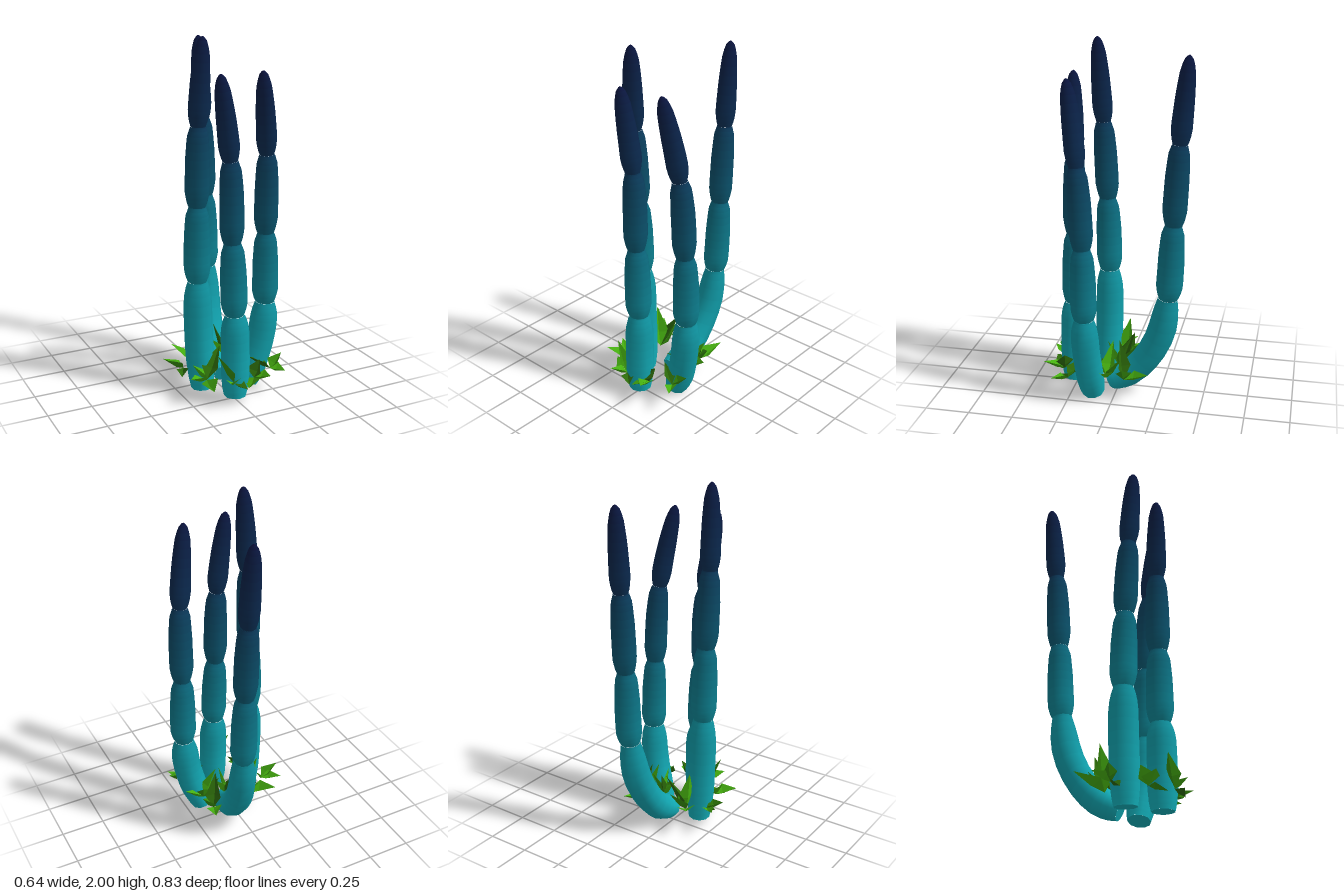
import * as THREE from 'three';

const SIDES = 10, STEPS = 14;
const RADII = [0.081, 0.075, 0.068, 0.058];

// Colour bands from turquoise foot to near-black tip
const STOPS = [0x14b4be, 0x0e8c9a, 0x0a5c74, 0x0b3054, 0x0a0a38].map(c => new THREE.Color(c));
const bands = Array.from({ length: 4 * STEPS }, (_, i) => {
  const s = i / STEPS, k = Math.floor(s);
  return new THREE.MeshStandardMaterial({ color: STOPS[k].clone().lerp(STOPS[k + 1], s - k) });
});

// Radius along a joint as [fraction of length, fraction of radius]
const FOOT = [[0, 0.78], [0.1, 0.9], [0.3, 1], [0.8, 0.99], [0.92, 0.9], [1, 0.68]];
const MIDDLE = [[0, 0.7], [0.07, 0.86], [0.2, 1], [0.6, 0.97], [0.88, 0.86], [1, 0.62]];
const TIP = [[0, 0.7], [0.08, 0.9], [0.2, 1], [0.55, 0.9], [0.8, 0.74], [0.93, 0.5], [0.98, 0.28], [1, 0]];

function profileAt(profile, t) {
  const i = Math.max(1, profile.findIndex(p => p[0] >= t - 1e-9));
  const [t0, r0] = profile[i - 1], [t1, r1] = profile[i];
  return r0 + (r1 - r0) * (t - t0) / (t1 - t0);
}

// One swollen joint swept along curve from parameter a to b
function joint(curve, a, b, level) {
  const profile = [FOOT, MIDDLE, MIDDLE, TIP][level];
  const pos = [], index = [], geo = new THREE.BufferGeometry();
  const up = new THREE.Vector3(0, 1, 0), q = new THREE.Quaternion(), v = new THREE.Vector3();
  for (let i = 0; i <= STEPS; i++) {
    // rings crowd towards both ends, where the outline bends most
    const t = (1 - Math.cos(Math.PI * i / STEPS)) / 2;
    const u = a + (b - a) * t, r = RADII[level] * profileAt(profile, t);
    const centre = curve.getPoint(u);
    q.setFromUnitVectors(up, curve.getTangent(u));
    for (let j = 0; j < SIDES; j++) {
      const w = j / SIDES * Math.PI * 2;
      v.set(Math.sin(w) * r, 0, Math.cos(w) * r).applyQuaternion(q).add(centre);
      pos.push(v.x, v.y, v.z);
    }
  }
  for (let i = 0; i < STEPS; i++) {
    geo.addGroup(index.length, SIDES * 6, i);
    for (let j = 0; j < SIDES; j++) {
      const p = i * SIDES + j, n = i * SIDES + (j + 1) % SIDES;
      index.push(p, n, n + SIDES, p, n + SIDES, p + SIDES);
    }
  }
  geo.setAttribute('position', new THREE.Float32BufferAttribute(pos, 3));
  geo.setIndex(index);
  geo.computeVertexNormals();
  return new THREE.Mesh(geo, bands.slice(level * STEPS, (level + 1) * STEPS));
}

// Stalk paths: foot points up to the first joint line, two more joint lines, then the tip
const STALKS = {
  leftwardStalk: [[0.15, 0.02, 0.12], [0.195, 0.15, 0.13], [0.233, 0.32, 0.143], [0.245, 0.5, 0.148],
    [0.24, 0.91, 0.157], [0.225, 1.36, 0.185], [0.16, 1.82, 0.25]],
  frontStalk: [[0, 0.025, 0.265], [0, 0.25, 0.265], [-0.005, 0.5, 0.262],
    [-0.02, 0.91, 0.26], [-0.035, 1.36, 0.26], [-0.1, 1.82, 0.275]],
  rightwardStalk: [[-0.12, 0.025, 0.09], [-0.138, 0.33, 0.085], [-0.145, 0.66, 0.085],
    [-0.15, 1.09, 0.097], [-0.153, 1.53, 0.12], [-0.14, 2, 0.15]],
  backStalk: [[0.045, 0.055, 0.04], [0.05, 0.1, -0.06], [0.06, 0.2, -0.16], [0.075, 0.37, -0.25], [0.088, 0.6, -0.293],
    [0.092, 1.03, -0.318], [0.092, 1.48, -0.345], [0.087, 1.95, -0.385]],
};

function stalk(points) {
  const group = new THREE.Group();
  const curve = new THREE.CatmullRomCurve3(points.map(p => new THREE.Vector3(...p)));
  const n = points.length - 1;
  const cuts = [0, n - 3, n - 2, n - 1, n].map(i => i / n);
  for (let k = 0; k < 4; k++) {
    const mesh = joint(curve, cuts[k], cuts[k + 1], k);
    mesh.name = ['footJoint', 'lowerJoint', 'upperJoint', 'tipJoint'][k];
    group.add(mesh);
  }
  // flat end under the foot
  const cap = new THREE.Mesh(new THREE.CircleGeometry(RADII[0] * 0.78, SIDES), bands[0]);
  cap.name = 'footCap';
  cap.position.copy(curve.getPoint(0));
  cap.quaternion.setFromUnitVectors(new THREE.Vector3(0, 0, 1), curve.getTangent(0).negate());
  group.add(cap);
  return group;
}

const greens = [0x46b010, 0x378f0c, 0x2c6a0a].map(color =>
  new THREE.MeshStandardMaterial({ color, flatShading: true, side: THREE.DoubleSide }));

// Pointed blade folded along its middle
function leaf(base, tip, halfWidth, material) {
  const b = new THREE.Vector3(...base), t = new THREE.Vector3(...tip);
  const dir = t.clone().sub(b).normalize();
  const side = new THREE.Vector3(0, 1, 0).cross(dir).normalize();
  const lift = dir.clone().cross(side);
  const mid = b.clone().lerp(t, 0.35);
  const l = mid.clone().addScaledVector(side, halfWidth).addScaledVector(lift, 0.03);
  const r = mid.clone().addScaledVector(side, -halfWidth).addScaledVector(lift, 0.015);
  mid.addScaledVector(lift, -0.01);
  const geo = new THREE.BufferGeometry().setFromPoints([b, l, mid, l, t, mid, b, mid, r, mid, t, r]);
  geo.computeVertexNormals();
  const mesh = new THREE.Mesh(geo, material);
  mesh.name = 'leaf';
  return mesh;
}

// Tufts: root, blade half width, blade tips
const TUFTS = [
  [[-0.1, 0.11, -0.02], 0.055, [[-0.2, 0.2, -0.165], [-0.055, 0.24, -0.12], [-0.01, 0.33, -0.09], [-0.14, 0.36, -0.04]]],
  [[-0.21, 0.13, 0.03], 0.035, [[-0.3, 0.17, -0.055], [-0.32, 0.2, 0.035], [-0.24, 0.1, 0.08]]],
  [[-0.15, 0.12, 0.21], 0.05, [[-0.27, 0.17, 0.265], [-0.15, 0.09, 0.31], [-0.035, 0.28, 0.14], [-0.22, 0.21, 0.18]]],
  [[-0.04, 0.13, 0.33], 0.04, [[-0.1, 0.17, 0.405], [-0.13, 0.3, 0.31], [0.02, 0.1, 0.38]]],
  [[0.1, 0.12, 0.3], 0.05, [[0.14, 0.17, 0.415], [0.03, 0.1, 0.37], [0.14, 0.22, 0.29]]],
  [[0.23, 0.13, 0.25], 0.035, [[0.28, 0.14, 0.335], [0.315, 0.2, 0.225], [0.12, 0.2, 0.19]]],
  [[0.18, 0.13, 0.03], 0.04, [[0.29, 0.2, 0.045], [0.22, 0.26, -0.05], [0.05, 0.18, 0.09], [0.11, 0.33, 0.01]]],
  [[0.16, 0.11, -0.06], 0.045, [[0.215, 0.18, -0.205], [0.23, 0.2, -0.06], [0.13, 0.34, -0.03]]],
  [[0.06, 0.15, -0.01], 0.015, [[-0.01, 0.25, -0.015], [0.13, 0.28, -0.03], [0.03, 0.32, -0.08], [0.07, 0.3, 0.05]]],
];

export function createModel() {
  const model = new THREE.Group();
  model.name = 'jointedStalkPlant';
  for (const [name, points] of Object.entries(STALKS)) {
    const s = stalk(points);
    s.name = name;
    model.add(s);
  }
  for (const [root, width, tips] of TUFTS) {
    const tuft = new THREE.Group();
    tuft.name = 'leafTuft';
    tips.forEach((tip, i) => tuft.add(leaf(root, tip, width, greens[i % 3])));
    model.add(tuft);
  }
  return model;
}
